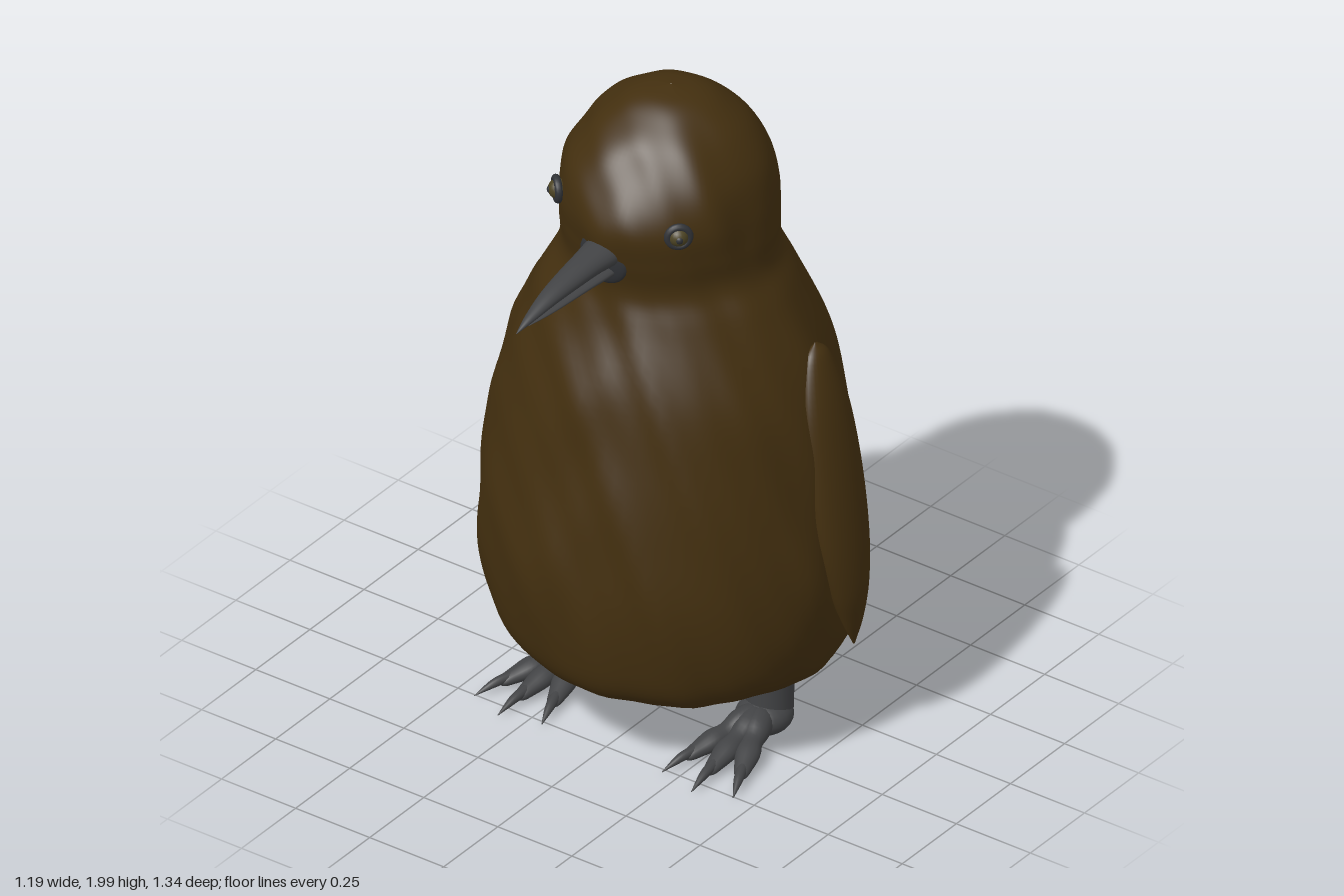
import * as THREE from 'three';

const mat = (name, color) => Object.assign(new THREE.MeshStandardMaterial({ color }), { name });

// Gentle feather lumps, stretched along the body
const lumps = (x, y, z) =>
  0.005 * Math.sin(17 * x + 7 * y + 3 * Math.sin(9 * z)) +
  0.004 * Math.sin(23 * z - 11 * y + 2 * Math.sin(13 * x)) +
  0.002 * Math.sin(41 * x + 19 * y - 37 * z);

// Smooth loft through elliptical rings [t, centreU, centreV, radiusU, radiusV].
// Axis 'y': rings run from top to bottom. Axis 'z': rings run from back to front.
function loft(keys, axis, steps, sides, bump = 0) {
  const curve = (f) => new THREE.CatmullRomCurve3(keys.map(f), false, 'catmullrom', 0.5);
  const centres = curve((k) => new THREE.Vector3(k[0], k[1], k[2]));
  const radii = curve((k) => new THREE.Vector3(k[3], k[4], 0));
  const pos = [], index = [];
  for (let i = 0; i <= steps; i++) {
    const c = centres.getPoint(i / steps), r = radii.getPoint(i / steps);
    for (let j = 0; j < sides; j++) {
      const a = (j / sides) * Math.PI * 2;
      const ru = Math.max(r.x, 0.0005), rv = Math.max(r.y, 0.0005);
      let u = c.y + ru * Math.cos(a), v = c.z + rv * Math.sin(a);
      if (bump) {
        const d = bump * lumps(u, c.x, v) * Math.min(1, ru / 0.2);
        u += d * Math.cos(a);
        v += d * Math.sin(a);
      }
      if (axis === 'y') pos.push(u, c.x, v);
      else pos.push(u, v, c.x);
      if (i < steps) {
        const p = i * sides + j, q = i * sides + ((j + 1) % sides);
        index.push(p, q, p + sides, q, q + sides, p + sides);
      }
    }
  }
  const g = new THREE.BufferGeometry();
  g.setAttribute('position', new THREE.Float32BufferAttribute(pos, 3));
  g.setIndex(index);
  g.computeVertexNormals();
  return g;
}

export function createModel() {
  const plumage = mat('brown plumage', 0x432f0f);
  const horn = mat('grey horn', 0x424345);
  const dark = mat('dark skin', 0x303236);
  const iris = mat('olive iris', 0x4d4424);
  const model = new THREE.Group();
  model.name = 'bird';

  const add = (parent, name, geometry, material, p = [0, 0, 0]) => {
    const m = new THREE.Mesh(geometry, material);
    m.name = name;
    m.position.set(...p);
    parent.add(m);
    return m;
  };

  // Head and body in one skin
  add(model, 'body', loft([
    [2.0, 0, -0.05, 0.001, 0.001],
    [1.985, 0, -0.05, 0.085, 0.085],
    [1.95, 0, -0.05, 0.15, 0.15],
    [1.89, 0, -0.045, 0.218, 0.22],
    [1.8, 0, -0.035, 0.273, 0.277],
    [1.7, 0, -0.03, 0.296, 0.312],
    [1.6, 0, -0.04, 0.302, 0.31],
    [1.5, 0, -0.053, 0.306, 0.305],
    [1.4, 0, -0.055, 0.36, 0.338],
    [1.2, 0, -0.055, 0.45, 0.413],
    [1.0, 0, -0.052, 0.5, 0.452],
    [0.8, 0, -0.047, 0.525, 0.478],
    [0.6, 0, -0.045, 0.545, 0.495],
    [0.42, 0, -0.053, 0.533, 0.487],
    [0.29, 0, -0.06, 0.49, 0.455],
    [0.22, 0, -0.07, 0.4, 0.37],
    [0.185, 0, -0.08, 0.26, 0.25],
    [0.165, 0, -0.08, 0.001, 0.001],
  ], 'y', 110, 96, 1), plumage);

  // Tail tuft, tilted up at the tip
  add(model, 'tail', loft([
    [-0.672, 0, 0.456, 0.012, 0.002],
    [-0.655, 0, 0.443, 0.045, 0.01],
    [-0.61, 0, 0.418, 0.075, 0.016],
    [-0.56, 0, 0.406, 0.055, 0.012],
    [-0.5, 0, 0.405, 0.03, 0.008],
  ], 'z', 20, 20), plumage);

  // Beak: skin ring, upper and lower halves
  const ring = add(model, 'beakSkin', new THREE.SphereGeometry(0.08, 28, 14), dark, [0, 1.6, 0.258]);
  ring.scale.z = 0.28;
  add(model, 'upperBeak', loft([
    [0.22, 0, 1.62, 0.001, 0.001],
    [0.24, 0, 1.62, 0.055, 0.037],
    [0.35, 0, 1.617, 0.046, 0.032],
    [0.5, 0, 1.602, 0.031, 0.022],
    [0.6, 0, 1.58, 0.016, 0.012],
    [0.665, 0, 1.56, 0.001, 0.001],
  ], 'z', 30, 24), horn);
  add(model, 'lowerBeak', loft([
    [0.22, 0, 1.57, 0.001, 0.001],
    [0.24, 0, 1.57, 0.045, 0.018],
    [0.38, 0, 1.568, 0.036, 0.012],
    [0.52, 0, 1.563, 0.021, 0.007],
    [0.61, 0, 1.558, 0.002, 0.001],
  ], 'z', 24, 20), horn);

  for (const s of [1, -1]) {
    const side = s > 0 ? 'left' : 'right';

    // Wing lying along the flank
    add(model, side + 'Wing', loft([
      [1.285, 0.43 * s, -0.13, 0.002, 0.004],
      [1.24, 0.44 * s, -0.125, 0.03, 0.05],
      [1.1, 0.473 * s, -0.115, 0.047, 0.09],
      [0.9, 0.508 * s, -0.11, 0.056, 0.104],
      [0.7, 0.535 * s, -0.11, 0.056, 0.098],
      [0.55, 0.552 * s, -0.117, 0.044, 0.072],
      [0.44, 0.556 * s, -0.128, 0.024, 0.04],
      [0.355, 0.556 * s, -0.135, 0.002, 0.004],
    ], 'y', 50, 28), plumage);

    // Eye: dark lid, iris and pupil facing outwards
    const eye = new THREE.Group();
    eye.name = side + 'Eye';
    eye.position.set(0.203 * s, 1.71, 0.193);
    eye.rotation.y = 0.75 * s;
    model.add(eye);
    add(eye, 'eyelid', new THREE.TorusGeometry(0.03, 0.011, 12, 28), dark, [0, 0, 0.004]);
    add(eye, 'iris', new THREE.SphereGeometry(0.029, 20, 14), iris);
    add(eye, 'pupil', new THREE.SphereGeometry(0.013, 14, 10), dark, [0, 0, 0.019]);

    // Leg and foot
    const leg = new THREE.Group();
    leg.name = side + 'Leg';
    leg.position.set(0.297 * s, 0, -0.07);
    model.add(leg);
    add(leg, 'shank', new THREE.CylinderGeometry(0.07, 0.066, 0.23, 28), horn, [0, 0.185, -0.03]);
    const heel = add(leg, 'heel', new THREE.SphereGeometry(0.08, 24, 16), horn, [0, 0.06, -0.005]);
    heel.scale.set(1, 0.66, 1.05);

    // Three knuckled toes, each with a claw
    for (const [yaw, length] of [[-0.27, 0.94], [0.08, 1], [0.4, 0.96]]) {
      const toe = new THREE.Group();
      toe.name = 'toe';
      toe.rotation.y = yaw * s;
      toe.scale.z = length;
      leg.add(toe);
      add(toe, 'toePad', loft([
        [-0.02, 0, 0.065, 0.001, 0.001],
        [0.03, 0, 0.068, 0.038, 0.036],
        [0.09, 0, 0.062, 0.04, 0.038],
        [0.14, 0, 0.052, 0.03, 0.026],
        [0.19, 0, 0.046, 0.035, 0.027],
        [0.24, 0, 0.037, 0.027, 0.021],
        [0.28, 0, 0.03, 0.018, 0.014],
        [0.295, 0, 0.028, 0.001, 0.001],
      ], 'z', 28, 16), horn);
      add(toe, 'claw', loft([
        [0.25, 0, 0.04, 0.016, 0.014],
        [0.31, 0, 0.032, 0.013, 0.012],
        [0.375, 0, 0.012, 0.001, 0.001],
      ], 'z', 12, 12), horn);
    }
  }
  return model;
}
